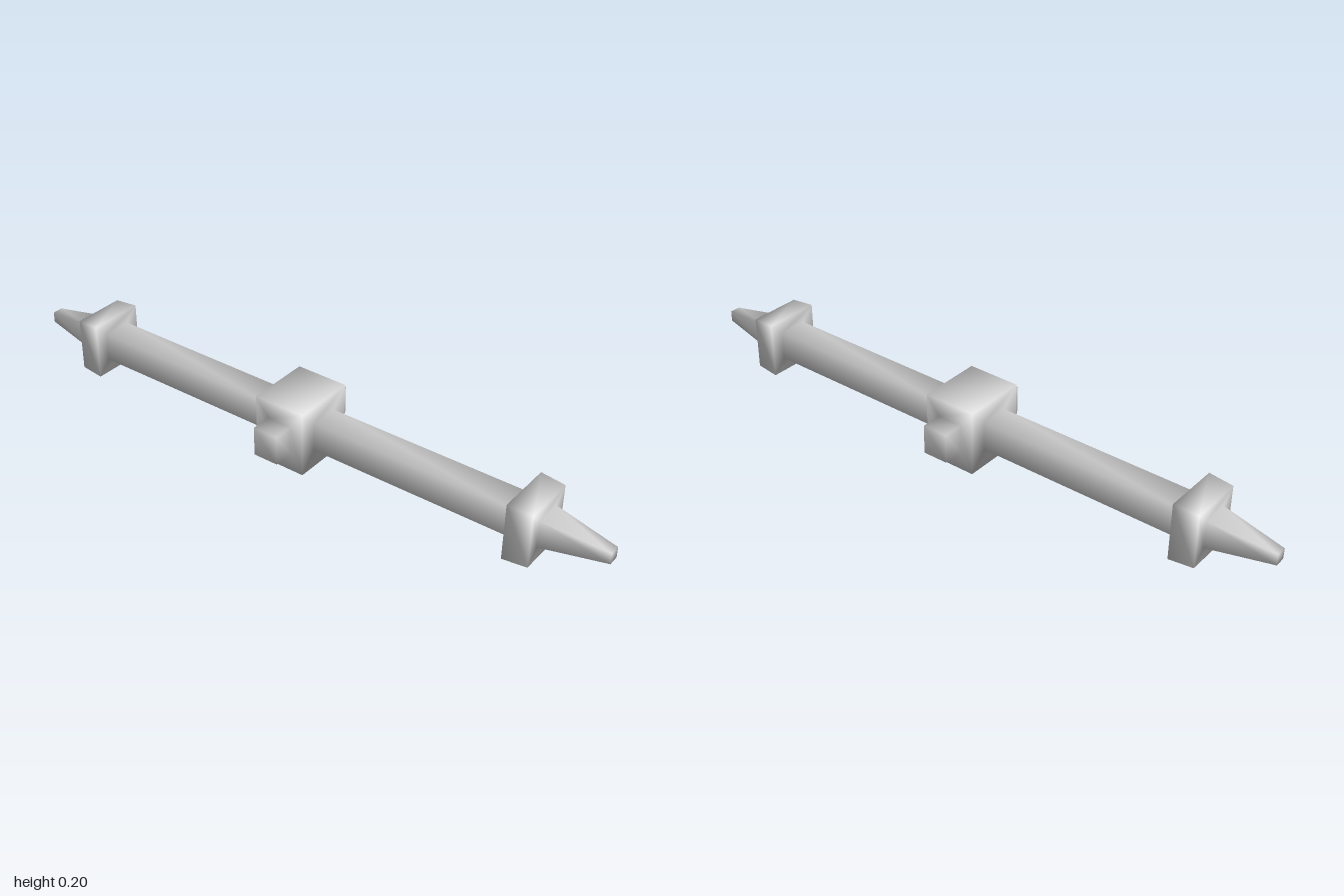
import * as THREE from 'three';
import { mergeVertices } from 'three/addons/utils/BufferGeometryUtils.js';

const CY = 0.102; // height of the long axis
const HUB = { x: 0.083, y: 0.102, z: 0.101 };

export function createModel() {
  const group = new THREE.Group();
  const material = new THREE.MeshStandardMaterial({ color: 0xcccccc });
  const positions = [];
  const parts = [];

  const quad = (a, b, c, d) => [a, b, c, a, c, d].forEach((p) => positions.push(...p));

  // Rectangular ring at distance d along +x, turned k quarter turns about y
  const ring = ([d, hy, hz], k) => {
    const c = [1, 0, -1, 0][k], s = [0, 1, 0, -1][k];
    return [[1, 1], [-1, 1], [-1, -1], [1, -1]].map(([u, v]) => {
      const z = v * hz;
      return [d * c + z * s, CY + u * hy, -d * s + z * c];
    });
  };

  const part = (name, build) => {
    const start = positions.length;
    build();
    parts.push({ name, start, end: positions.length });
  };

  // Skin a run of sections, with an optional flat end
  const loft = (name, sections, k, capped = false) => part(name, () => {
    const rings = sections.map((s) => ring(s, k));
    for (let i = 0; i < rings.length - 1; i++) {
      for (let j = 0; j < 4; j++) {
        const n = (j + 1) % 4;
        quad(rings[i][j], rings[i][n], rings[i + 1][n], rings[i + 1][j]);
      }
    }
    if (capped) quad(...rings[rings.length - 1]);
  });

  // Hub: top and bottom faces, the other faces belong to the arms
  part('hub', () => {
    for (const s of [1, -1]) {
      const y = CY + s * HUB.y;
      quad([-HUB.x, y, s * HUB.z], [HUB.x, y, s * HUB.z],
        [HUB.x, y, -s * HUB.z], [-HUB.x, y, -s * HUB.z]);
    }
  });

  // Long arms: shaft, collar and tapered spike on each side
  const hubSide = [HUB.x, HUB.y, HUB.z];
  const root = [HUB.x, 0.046, 0.046], end = [0.73, 0.046, 0.046];
  const spikeBase = [0.806, 0.043, 0.043];
  for (const [side, k] of [['left', 0], ['right', 2]]) {
    loft(side + 'Shaft', [hubSide, root, end], k);
    loft(side + 'Collar', [end, [0.73, 0.089, 0.089], [0.806, 0.084, 0.084], spikeBase], k);
    loft(side + 'Spike', [spikeBase, [1, 0.017, 0.017]], k, true);
  }

  // Short lugs on the front and back of the hub
  for (const [side, k] of [['front', 3], ['back', 1]]) {
    loft(side + 'Lug', [[HUB.z, HUB.y, HUB.x], [HUB.z, 0.046, 0.04], [0.165, 0.046, 0.04]], k, true);
  }

  // Share normals over the whole skin so shading flows between parts
  let skin = new THREE.BufferGeometry();
  skin.setAttribute('position', new THREE.Float32BufferAttribute(positions, 3));
  skin = mergeVertices(skin);
  skin.computeVertexNormals();
  skin = skin.toNonIndexed();

  for (const { name, start, end: stop } of parts) {
    const geometry = new THREE.BufferGeometry();
    for (const key of ['position', 'normal']) {
      geometry.setAttribute(key, new THREE.BufferAttribute(skin.attributes[key].array.slice(start, stop), 3));
    }
    const mesh = new THREE.Mesh(geometry, material);
    mesh.name = name;
    group.add(mesh);
  }
  return group;
}
